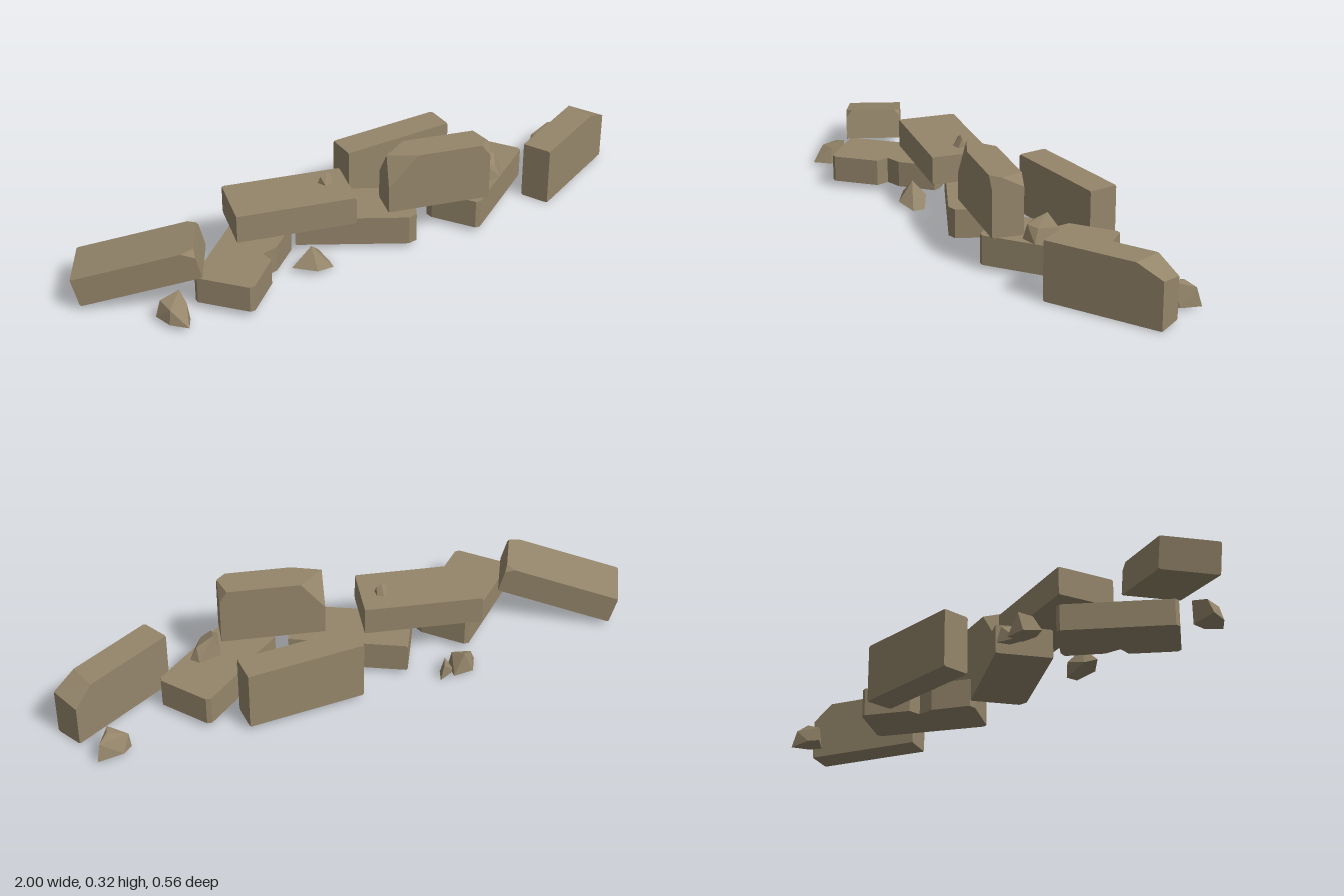
import * as THREE from 'three';
import { ConvexGeometry } from 'three/addons/geometries/ConvexGeometry.js';

const stone = new THREE.MeshStandardMaterial({ color: 0x95866b });
stone.name = 'weathered stone';

// Box with chipped corners. Each chip is [sx, sy, sz, dx, dy, dz]: corner signs, then
// how far the cut runs along each edge (0 leaves that edge out, so two make a straight cut).
function chippedBox(l, h, w, chips = []) {
  const points = [];
  for (const sx of [-1, 1]) for (const sy of [-1, 1]) for (const sz of [-1, 1]) {
    const corner = new THREE.Vector3(sx * l / 2, sy * h / 2, sz * w / 2);
    const chip = chips.find(c => c[0] === sx && c[1] === sy && c[2] === sz);
    const [dx, dy, dz] = chip ? chip.slice(3) : [0.005, 0.005, 0.005];
    if (dx) points.push(corner.clone().add(new THREE.Vector3(-sx * dx, 0, 0)));
    if (dy) points.push(corner.clone().add(new THREE.Vector3(0, -sy * dy, 0)));
    if (dz) points.push(corner.clone().add(new THREE.Vector3(0, 0, -sz * dz)));
  }
  return new ConvexGeometry(points);
}

// Lying brick with a wedge broken out of its +z long side
function notchedBrick(l, h, w) {
  const a = l / 2, b = w / 2, c = 0.012;
  const outline = [
    [-a, -b + c], [-a, b - c], [-a + c, b], [-0.025, b], [0, b - 0.038],
    [0.05, b - 0.01], [a - c, b - 0.006], [a, b - 0.03], [a, -b + c], [a - c, -b], [-a + c, -b],
  ].map(([x, z]) => new THREE.Vector2(x, -z));
  const geo = new THREE.ExtrudeGeometry(new THREE.Shape(outline), { depth: h, bevelEnabled: false });
  return geo.rotateX(-Math.PI / 2).translate(0, -h / 2, 0);
}

// Rubble chunk: hull of a few points
const chunk = pts => new ConvexGeometry(pts.map(p => new THREE.Vector3(...p)));

export function createModel() {
  const group = new THREE.Group();
  group.name = 'stoneRubble';

  function add(name, geo, pos = [0, 0, 0], turn = 0, tilt = 0) {
    const mesh = new THREE.Mesh(geo, stone);
    mesh.name = name;
    mesh.position.set(...pos);
    mesh.rotation.set(0, turn, tilt);
    group.add(mesh);
  }

  // Bricks lying on the ground
  add('notchedBrickRight', notchedBrick(0.385, 0.09, 0.2), [-0.47, 0.07, 0.05], 0.63);
  add('notchedBrickLeft', notchedBrick(0.4, 0.1, 0.2), [0.44, 0.07, 0.095], 0.5 + Math.PI);
  add('middleBrick', chippedBox(0.4, 0.1, 0.19, [
    [1, 1, 1, 0.025, 0, 0.02], [1, -1, 1, 0.025, 0, 0.02],
  ]), [-0.02, 0.07, 0.035], -0.61);

  // Slabs resting on other bricks
  add('leaningBrick', chippedBox(0.4, 0.1, 0.19, [
    [1, 1, 1, 0.04, 0.025, 0.02], [1, 1, -1, 0.03, 0.02, 0.02],
  ]), [-0.78, 0.12, -0.085], -0.62, 0.26);
  add('upperBrick', chippedBox(0.4, 0.096, 0.2), [-0.255, 0.178, -0.01], -0.34);

  // Bricks standing on edge
  add('backBrick', chippedBox(0.4, 0.205, 0.1), [0.255, 0.122, -0.13], -0.09);
  add('topBrick', chippedBox(0.35, 0.2, 0.105, [
    [-1, 1, 1, 0.1, 0.11, 0.03], [-1, 1, -1, 0.08, 0.1, 0],
    [1, 1, 1, 0.03, 0.04, 0.03], [1, 1, -1, 0.025, 0.04, 0],
  ]), [0.216, 0.22, 0.157], -0.345);
  add('endBrick', chippedBox(0.4, 0.2, 0.1, [
    [1, 1, 1, 0.09, 0.04, 0], [1, 1, -1, 0.07, 0.06, 0],
  ]), [0.793, 0.106, 0.16], 0.35);

  // Loose chunks
  add('rubbleFrontRight', chunk([
    [-0.82, 0.02, 0.075], [-0.73, 0.013, 0.09], [-0.735, 0.013, 0.14], [-0.77, 0.02, 0.19], [-0.81, 0.02, 0.14],
    [-0.8, 0.07, 0.07], [-0.735, 0.09, 0.08], [-0.74, 0.07, 0.13], [-0.8, 0.065, 0.13],
  ]));
  add('rubbleBackLarge', chunk([
    [-0.365, 0.01, -0.2], [-0.33, 0.005, -0.25], [-0.26, 0.005, -0.245], [-0.27, 0.005, -0.185], [-0.32, 0.01, -0.175],
    [-0.34, 0.06, -0.215], [-0.3, 0.08, -0.24], [-0.275, 0.07, -0.2],
  ]));
  add('rubbleBackSmall', chunk([
    [-0.275, 0.005, -0.22], [-0.21, 0.003, -0.24], [-0.23, 0.003, -0.2], [-0.265, 0.005, -0.19],
    [-0.225, 0.055, -0.235], [-0.245, 0.06, -0.205],
  ]));
  add('rubbleFrontMiddle', chunk([
    [-0.33, 0.025, 0.11], [-0.19, 0.005, 0.12], [-0.2, 0.005, 0.16], [-0.27, 0.02, 0.17],
    [-0.29, 0.02, 0.09], [-0.26, 0.088, 0.12], [-0.215, 0.045, 0.095],
  ]));
  add('rubblePebble', chunk([
    [-0.15, 0.23, 0.005], [-0.125, 0.23, -0.005], [-0.105, 0.23, 0.01], [-0.11, 0.23, 0.035], [-0.14, 0.23, 0.035],
    [-0.145, 0.255, 0.012], [-0.125, 0.268, 0.015], [-0.11, 0.258, 0.02],
  ]));
  add('rubbleOnBrick', chunk([
    [0.415, 0.12, 0.16], [0.43, 0.12, 0.105], [0.51, 0.12, 0.1], [0.53, 0.12, 0.13], [0.48, 0.12, 0.19], [0.42, 0.12, 0.19],
    [0.42, 0.175, 0.15], [0.45, 0.2, 0.115], [0.51, 0.17, 0.12], [0.43, 0.17, 0.18], [0.47, 0.165, 0.17],
  ]));
  add('rubbleBackLeft', chunk([
    [0.825, 0.01, -0.05], [0.88, 0.01, 0.012], [0.92, 0.01, -0.01], [0.95, 0.01, -0.07], [0.86, 0.01, -0.072],
    [0.83, 0.06, -0.045], [0.885, 0.085, -0.005], [0.9, 0.09, -0.04], [0.935, 0.07, -0.06],
  ]));

  return group;
}
